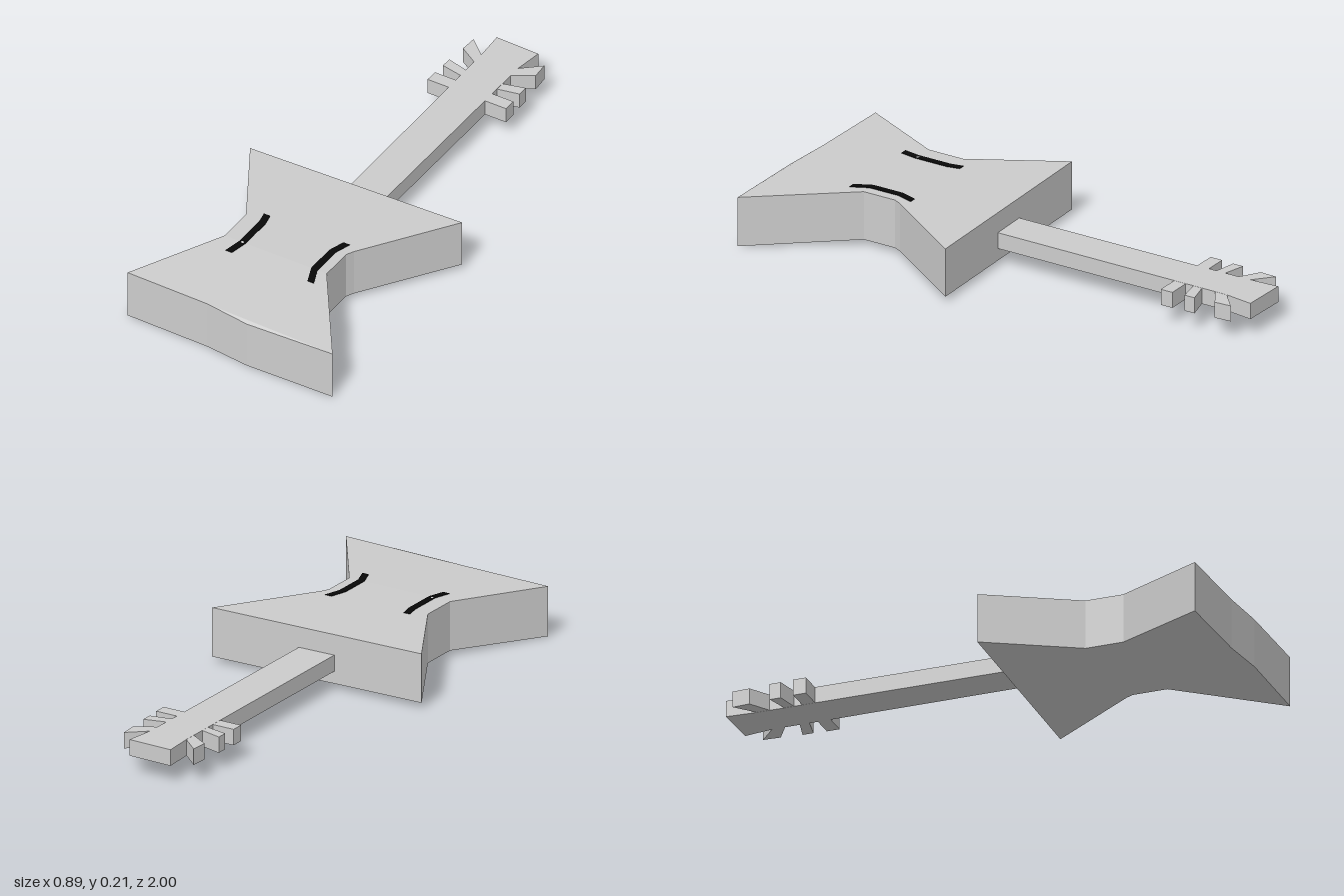
import * as THREE from 'three';

const BEND = 0.615; // z where the body starts to droop
const BOTTOM = 0.022, TOP = 0.213;

// Prism from an [x, z] outline, standing between two heights
function slab(outline, y0, y1) {
  const shape = new THREE.Shape(outline.map(([x, z]) => new THREE.Vector2(x, -z)));
  const geo = new THREE.ExtrudeGeometry(shape, { depth: y1 - y0, bevelEnabled: false });
  return geo.rotateX(-Math.PI / 2).translate(0, y0, 0);
}

// Lowers everything beyond the bend; the top front edge dips slightly mid-way
function droop(geo) {
  const p = geo.attributes.position;
  for (let i = 0; i < p.count; i++) {
    const t = Math.max(0, (p.getZ(i) - BEND) / (0.99 - BEND));
    const onTop = p.getY(i) > 0.1;
    const dip = onTop && Math.abs(p.getX(i) - 0.08) < 0.05 ? 0.006 : 0;
    p.setY(i, p.getY(i) - t * ((onTop ? 0.017 : 0.021) + dip));
  }
  geo.computeVertexNormals();
  return geo;
}

export function createModel() {
  const group = new THREE.Group();
  const grey = new THREE.MeshStandardMaterial({ color: 0xcccccc, flatShading: true });
  grey.name = 'light grey';
  const black = new THREE.MeshStandardMaterial({ color: 0x080808, flatShading: true });
  black.name = 'black';

  const add = (name, geo, material) => {
    const mesh = new THREE.Mesh(geo, material);
    mesh.name = name;
    group.add(mesh);
  };

  // Body: flat upper half and drooping lower half, meeting at the waist
  add('upperBody', slab([
    [-0.25, BEND], [0.185, BEND], [0.185, 0.48], [0.2, 0.45], [0.443, 0.097],
    [-0.445, 0.122], [-0.25, 0.467],
  ], BOTTOM, TOP), grey);
  add('lowerBody', droop(slab([
    [-0.25, BEND], [-0.445, 0.97], [-0.1, 0.977], [0.08, 0.997],
    [0.443, 0.993], [0.185, BEND],
  ], BOTTOM, TOP)), grey);

  // Neck with a slightly flared head
  add('neck', slab([
    [-0.075, 0.13], [0.075, 0.13], [0.078, -0.88], [0.095, -0.995],
    [-0.085, -1], [-0.078, -0.88],
  ], 0.07, 0.133), grey);

  // Three tuning pegs, mirrored to both sides
  const pegs = [
    [[0.05, -0.655], [0.167, -0.655], [0.167, -0.705], [0.05, -0.705]],
    [[0.05, -0.732], [0.163, -0.755], [0.163, -0.798], [0.05, -0.768]],
    [[0.05, -0.815], [0.155, -0.88], [0.151, -0.947], [0.05, -0.858]],
  ];
  for (const side of [1, -1]) {
    pegs.forEach((peg, i) => {
      const outline = peg.map(([x, z]) => [x * side, z]);
      add(`${side > 0 ? 'left' : 'right'}Peg${i + 1}`, slab(outline, 0.0705, 0.1325), grey);
    });
  }

  // Sound holes: thin painted strips on the top
  const holes = {
    rightSoundHole: [[-0.183, 0.43], [-0.173, 0.48], [-0.173, BEND], [-0.189, 0.685]],
    leftSoundHole: [[0.153, 0.425], [0.133, 0.49], [0.133, BEND], [0.16, 0.685]],
  };
  for (const [name, line] of Object.entries(holes)) {
    const w = 0.0135;
    const outline = [
      ...line.map(([x, z]) => [x - w, z]),
      ...line.map(([x, z]) => [x + w, z]).reverse(),
    ];
    add(name, droop(slab(outline, TOP - 0.002, TOP + 0.002)), black);
  }
  return group;
}
